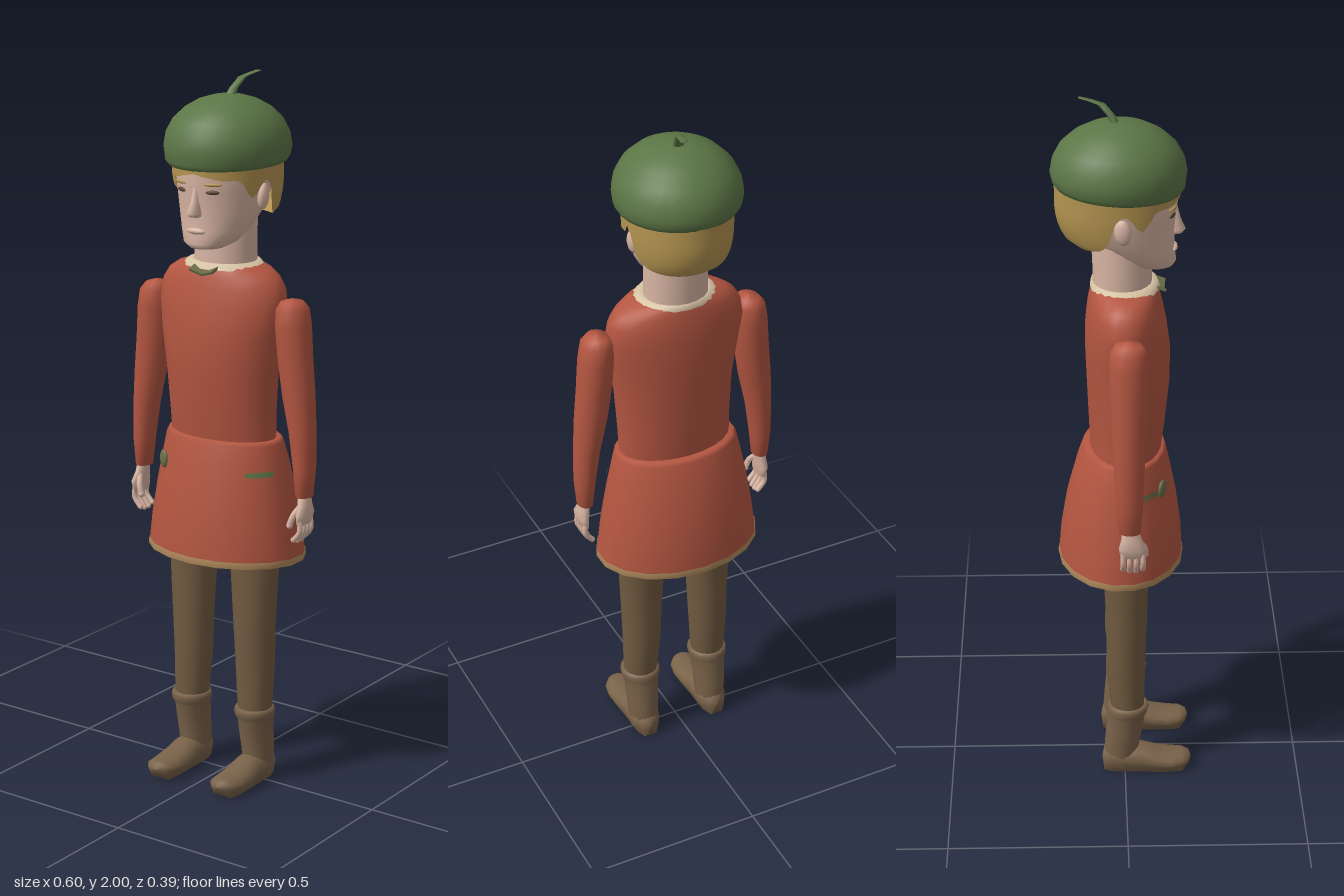
import * as THREE from 'three';
import { ParametricGeometry } from 'three/addons/geometries/ParametricGeometry.js';

const mat = (name, color, side = THREE.FrontSide) => {
  const m = new THREE.MeshStandardMaterial({ color, side });
  m.name = name;
  return m;
};

// Smooth skin over elliptical rings [y, cx, cz, rx, rz], listed from bottom to top
function loft(rings, seg = 20, a0 = 0, a1 = Math.PI * 2) {
  const pos = [], idx = [], closed = a1 - a0 > 6.28, cols = closed ? seg : seg + 1;
  for (const [y, cx, cz, rx, rz] of rings)
    for (let i = 0; i < cols; i++) {
      const a = a0 + (a1 - a0) * i / seg;
      pos.push(cx + rx * Math.sin(a), y, cz + rz * Math.cos(a));
    }
  for (let j = 0; j < rings.length - 1; j++)
    for (let i = 0; i < seg; i++) {
      const n = (i + 1) % cols, a = j * cols + i, b = j * cols + n;
      idx.push(a, b, b + cols, a, b + cols, a + cols);
    }
  const g = new THREE.BufferGeometry();
  g.setAttribute('position', new THREE.Float32BufferAttribute(pos, 3));
  g.setIndex(idx);
  g.computeVertexNormals();
  return g;
}

// Ring given by half width and front/back depth
const ring = (y, rx, zf, zb) => [y, 0, (zf + zb) / 2, rx, (zf - zb) / 2];

export function createModel() {
  const root = new THREE.Group();
  const skin = mat('skin', 0xd8b5a4);
  const red = mat('red cloth', 0xb45641, THREE.DoubleSide);
  const brown = mat('brown leggings', 0x715b41);
  const leather = mat('boot leather', 0x796249);
  const green = mat('green felt', 0x5c7646);
  const gold = mat('blond hair', 0xb39350, THREE.DoubleSide);
  const tan = mat('tan trim', 0xb08a5c, THREE.DoubleSide);
  const cream = mat('cream collar', 0xd6c3a4, THREE.DoubleSide);
  const olive = mat('olive belt', 0x6b6d49, THREE.DoubleSide);
  const dark = mat('dark eyes', 0x5a4434);

  const add = (name, geo, material, parent = root) => {
    const m = new THREE.Mesh(geo, material);
    m.name = name;
    parent.add(m);
    return m;
  };
  const ball = (name, material, p, s, parent = root) => {
    const m = add(name, new THREE.SphereGeometry(1, 14, 10), material, parent);
    m.position.set(...p);
    m.scale.set(...s);
    return m;
  };

  // Torso and flared skirt, open below
  add('torso', loft([
    ring(0.99, 0.163, 0.1, -0.093), ring(1.08, 0.165, 0.112, -0.097), ring(1.2, 0.172, 0.124, -0.102),
    ring(1.3, 0.188, 0.125, -0.106), ring(1.38, 0.2, 0.114, -0.105), ring(1.43, 0.192, 0.104, -0.1),
    ring(1.46, 0.172, 0.096, -0.094), ring(1.48, 0.142, 0.09, -0.09), ring(1.492, 0.1, 0.085, -0.086),
  ], 24), red);
  add('skirt', loft([
    ring(0.675, 0.238, 0.163, -0.183), ring(0.76, 0.227, 0.158, -0.176), ring(0.86, 0.21, 0.144, -0.159),
    ring(0.95, 0.192, 0.126, -0.134), ring(1.0, 0.181, 0.115, -0.116), ring(1.01, 0.175, 0.11, -0.11),
    ring(1.01, 0.155, 0.09, -0.085),
  ], 18), red);
  add('hemTrim', loft([
    ring(0.68, 0.228, 0.153, -0.173), ring(0.664, 0.236, 0.161, -0.181),
    ring(0.666, 0.241, 0.166, -0.186), ring(0.684, 0.239, 0.164, -0.184),
  ], 18), tan);

  // Belt showing on both hips, with an oval buckle on one
  for (const s of [-1, 1]) {
    const [a0, a1] = s > 0 ? [0.75, 1.25] : [-1.25, -0.6];
    add('beltStrip', loft([
      ring(0.918, 0.203, 0.137, -0.147), ring(0.932, 0.2, 0.134, -0.144),
    ], 8, a0, a1), s > 0 ? green : olive);
  }
  ball('buckle', olive, [-0.135, 0.93, 0.102], [0.02, 0.026, 0.008]).rotation.y = -0.5;

  // Neckline
  add('collar', loft([
    ring(1.48, 0.125, 0.096, -0.092), ring(1.497, 0.1, 0.089, -0.09), ring(1.494, 0.086, 0.07, -0.08),
  ], 20), cream);
  for (const s of [-1, 1]) {
    const flap = add('collarFlap', new THREE.BoxGeometry(0.04, 0.007, 0.035), olive);
    flap.position.set(s * 0.02, 1.478, 0.093);
    flap.rotation.set(0.35, 0, s * 0.3);
  }

  // Neck and head
  add('neck', loft([
    ring(1.45, 0.09, 0.075, -0.085), ring(1.54, 0.088, 0.075, -0.085), ring(1.66, 0.088, 0.07, -0.09),
  ]), skin);
  add('head', loft([
    ring(1.54, 0, 0.1, 0.1), ring(1.541, 0.045, 0.131, 0.03), ring(1.555, 0.072, 0.139, -0.005),
    ring(1.59, 0.094, 0.134, -0.06), ring(1.64, 0.111, 0.134, -0.11), ring(1.69, 0.121, 0.138, -0.14),
    ring(1.74, 0.128, 0.145, -0.16), ring(1.8, 0.125, 0.14, -0.16),
  ], 24), skin);
  const nose = add('nose', loft([
    [1.625, 0, 0.13, 0, 0], [1.63, 0, 0.135, 0.017, 0.02], [1.64, 0, 0.135, 0.019, 0.029],
    [1.67, 0, 0.132, 0.012, 0.018], [1.71, 0, 0.13, 0.008, 0.01],
  ], 12), skin);
  nose.scale.z = 1.0;
  ball('lips', skin, [0, 1.59, 0.132], [0.03, 0.009, 0.011]);
  for (const s of [-1, 1]) {
    ball('eye', dark, [s * 0.05, 1.697, 0.126], [0.019, 0.006, 0.005]).rotation.y = s * 0.4;
    ball('eyebrow', gold, [s * 0.052, 1.718, 0.127], [0.026, 0.005, 0.007]).rotation.y = s * 0.4;
    ball('ear', skin, [s * 0.122, 1.677, -0.006], [0.015, 0.036, 0.023]).rotation.set(-0.1, s * 0.2, 0);
  }

  // Hair: a shell whose lower edge follows fringe, sideburns, ears and nape
  const edge = new THREE.SplineCurve([
    [0, 1.742], [0.6, 1.728], [0.95, 1.725], [1.15, 1.68], [1.3, 1.69], [1.45, 1.72], [1.65, 1.71],
    [1.85, 1.635], [2.3, 1.615], [3.15, 1.612],
  ].map(p => new THREE.Vector2(...p)));
  const samples = edge.getPoints(120);
  const edgeAt = a => (samples.find(p => p.x >= a) || samples[120]).y;
  add('hair', new ParametricGeometry((u, v, out) => {
    const a = (u * 2 - 1) * Math.PI, low = edgeAt(Math.abs(a));
    const y = low + (1.8 - low) * v;
    const t = Math.min(1, Math.max(0, (y - 1.6) / 0.12));
    const swell = Math.sqrt(1 - (1 - t) ** 2), tuck = v < 0.01 ? 0.94 : 1;
    const zf = 0.154, zb = 0.11 + 0.075 * swell, rx = 0.112 + 0.03 * swell;
    const c = Math.cos(a);
    out.set(rx * tuck * Math.sin(a), y, -0.012 + c * tuck * (c > 0 ? zf + 0.008 : zb - 0.012));
  }, 64, 10), gold);

  // Cap with a bent stalk
  const cap = [[1.79, 0.125], [1.764, 0.15], [1.762, 0.158], [1.775, 0.166], [1.805, 0.17], [1.84, 0.164],
    [1.875, 0.146], [1.905, 0.115], [1.926, 0.078], [1.937, 0.04], [1.94, 0]];
  const capGeo = loft(cap.map(([y, r]) => [y, 0, -0.015, r, r * 1.065]), 32);
  const cp = capGeo.attributes.position;
  for (let i = 0; i < cp.count; i++)
    cp.setY(i, cp.getY(i) - (cp.getY(i) < 1.8 ? 0.05 * (cp.getZ(i) + 0.015) : 0));
  capGeo.computeVertexNormals();
  add('cap', capGeo, green);
  add('capStalk', loft([
    [1.93, 0, -0.022, 0.017, 0.013], [1.955, 0.006, -0.034, 0.013, 0.011], [1.982, 0.016, -0.06, 0.012, 0.012],
    [1.99, 0.024, -0.09, 0.011, 0.008], [1.995, 0.03, -0.116, 0.01, 0.004], [1.996, 0.03, -0.116, 0, 0],
  ], 8), green);

  for (const s of [-1, 1]) {
    const side = s > 0 ? 'left' : 'right';

    // Sleeve
    add(side + 'Arm', loft([
      [0.872, 0.273, 0.01, 0, 0], [0.87, 0.273, 0.01, 0.022, 0.029], [0.95, 0.272, 0.009, 0.03, 0.036],
      [1.05, 0.264, 0.008, 0.037, 0.041], [1.15, 0.25, 0.007, 0.046, 0.046], [1.25, 0.238, 0.007, 0.049, 0.049],
      [1.34, 0.231, 0.007, 0.049, 0.053], [1.385, 0.228, 0.007, 0.044, 0.05], [1.405, 0.226, 0.007, 0.03, 0.036],
      [1.414, 0.226, 0.007, 0, 0],
    ].map(([y, x, ...r]) => [y, s * x, ...r]), 16), red);

    // Hand with four fingers curling inwards and a thumb
    const hand = new THREE.Group();
    hand.name = side + 'Hand';
    root.add(hand);
    add('palm', loft([
      [0.79, 0.277, 0.018, 0, 0], [0.795, 0.278, 0.018, 0.011, 0.034], [0.825, 0.281, 0.018, 0.016, 0.039],
      [0.85, 0.277, 0.014, 0.016, 0.028], [0.89, 0.273, 0.01, 0.016, 0.02],
    ].map(([y, x, ...r]) => [y, s * x, ...r]), 12), skin, hand);
    const digit = (name, pts, r) => add(name, new THREE.TubeGeometry(
      new THREE.CatmullRomCurve3(pts.map(([x, y, z]) => new THREE.Vector3(s * x, y, z))), 6, r, 7), skin, hand);
    for (let i = 0; i < 4; i++) {
      const z = -0.009 + i * 0.018, y = 0.752 - 0.006 * (i % 3 ? 1 : 0);
      digit('finger', [[0.28, 0.81, z], [0.282, 0.777, z], [0.262, y, z]], 0.008);
      ball('fingertip', skin, [s * 0.262, y, z], [0.008, 0.008, 0.008], hand);
    }
    digit('thumb', [[0.274, 0.845, 0.03], [0.262, 0.82, 0.048], [0.253, 0.793, 0.052]], 0.009);
    ball('thumbTip', skin, [s * 0.253, 0.793, 0.052], [0.009, 0.009, 0.009], hand);

    // Leg, continuing up under the skirt
    add(side + 'Leg', loft([
      [0.17, 0.11, 0.008, 0.046, 0.046], [0.25, 0.109, 0.006, 0.051, 0.05], [0.35, 0.107, 0.002, 0.056, 0.056],
      [0.45, 0.106, 0.005, 0.06, 0.056], [0.56, 0.105, 0.004, 0.066, 0.06], [0.67, 0.104, 0.002, 0.072, 0.065],
      [0.85, 0.092, 0, 0.08, 0.075], [0.97, 0.085, 0, 0.08, 0.075],
    ].map(([y, x, ...r]) => [y, s * x, ...r]), 18), brown);

    // Boot: shaft with rolled cuff, and foot
    add(side + 'BootShaft', loft([
      [0.02, 0, -0.01, 0.04, 0.05], [0.09, 0, -0.008, 0.045, 0.05], [0.14, 0, -0.001, 0.047, 0.053],
      [0.185, 0, 0.004, 0.05, 0.054], [0.195, 0, 0.007, 0.056, 0.058], [0.212, 0, 0.009, 0.058, 0.06],
      [0.222, 0, 0.009, 0.053, 0.055], [0.22, 0, 0.008, 0.045, 0.045],
    ].map(([y, , ...r]) => [y, s * 0.11, ...r]), 16), leather);
    const foot = loft([
      [-0.066, 0, -0.036, 0, 0], [-0.06, 0, -0.036, 0.026, 0.03], [-0.03, 0, -0.042, 0.043, 0.042],
      [0.04, 0, -0.041, 0.045, 0.041], [0.085, 0, -0.033, 0.048, 0.032], [0.13, 0, -0.029, 0.049, 0.027],
      [0.165, 0, -0.031, 0.043, 0.024], [0.185, 0, -0.033, 0.026, 0.017], [0.192, 0, -0.034, 0, 0],
    ], 16);
    foot.rotateX(Math.PI / 2);
    // Flatten the sole
    const fp = foot.attributes.position;
    for (let i = 0; i < fp.count; i++) if (fp.getY(i) < 0.015) fp.setY(i, 0);
    foot.computeVertexNormals();
    foot.translate(s * 0.11, 0, 0);
    add(side + 'Foot', foot, leather);
  }
  return root;
}
